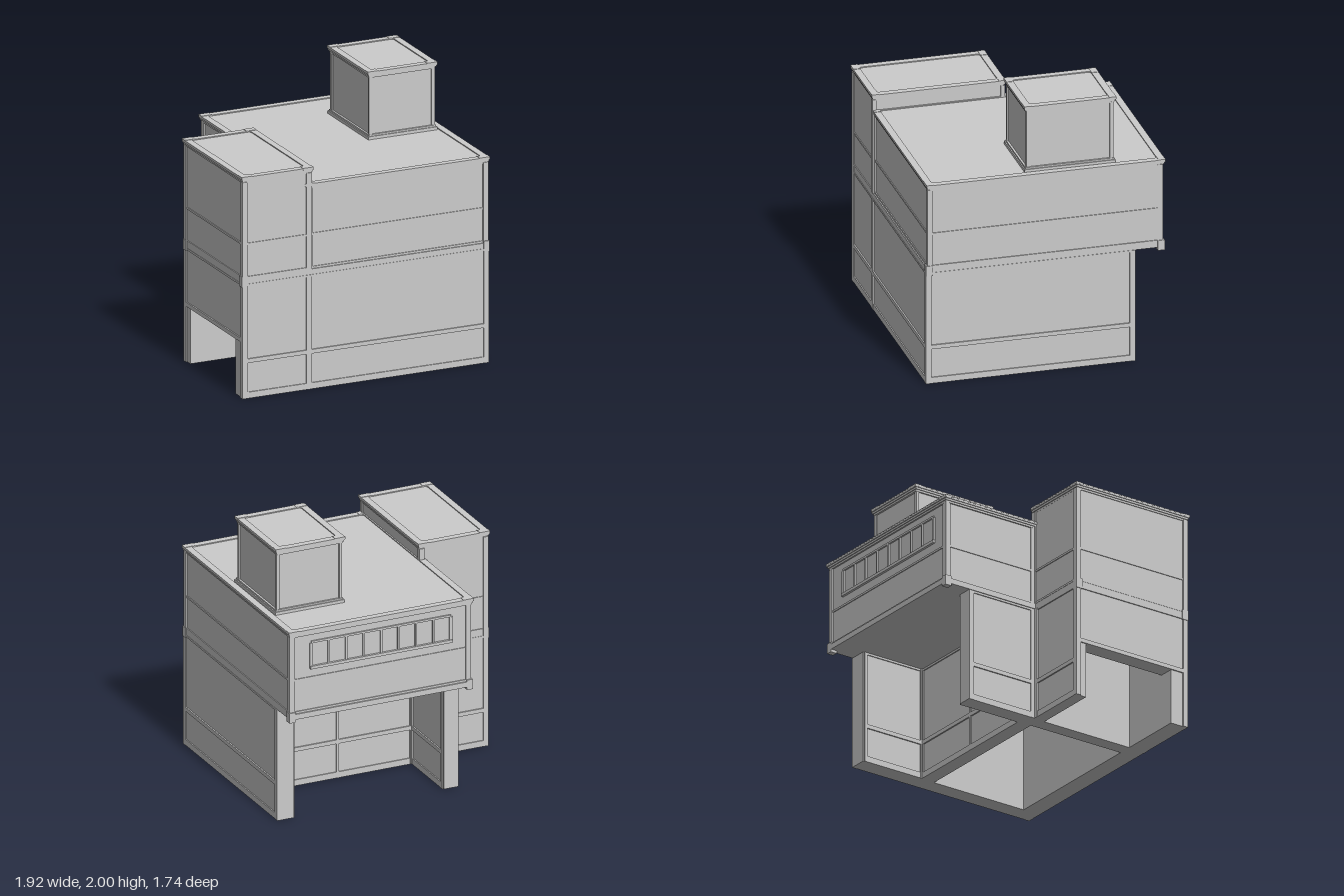
import * as THREE from 'three';

const mat = new THREE.MeshStandardMaterial({ color: 0xcccccc, flatShading: true });

// Box given by its limits on each axis
function box(parent, name, x0, x1, y0, y1, z0, z1) {
  const m = new THREE.Mesh(new THREE.BoxGeometry(x1 - x0, y1 - y0, z1 - z0), mat);
  m.position.set((x0 + x1) / 2, (y0 + y1) / 2, (z0 + z1) / 2);
  m.name = name;
  parent.add(m);
  return m;
}

// Rectangular frame lying flat, with a softly rounded opening
function rim(parent, name, [x0, x1, z0, z1], y, height, width, r) {
  const s = new THREE.Shape();
  s.moveTo(x0, -z0); s.lineTo(x0, -z1); s.lineTo(x1, -z1); s.lineTo(x1, -z0);
  const a = x0 + width, b = x1 - width, c = -z1 + width, d = -z0 - width;
  const h = new THREE.Path();
  h.moveTo(a + r, c); h.lineTo(b - r, c); h.quadraticCurveTo(b, c, b, c + r);
  h.lineTo(b, d - r); h.quadraticCurveTo(b, d, b - r, d);
  h.lineTo(a + r, d); h.quadraticCurveTo(a, d, a, d - r);
  h.lineTo(a, c + r); h.quadraticCurveTo(a, c, a + r, c);
  s.holes.push(h);
  const g = new THREE.ExtrudeGeometry(s, { depth: height, bevelEnabled: false, curveSegments: 3 });
  g.rotateX(-Math.PI / 2);
  const m = new THREE.Mesh(g, mat);
  m.position.y = y;
  m.name = name;
  parent.add(m);
}

// Trim on one wall face: corner posts and horizontal strips, facing local +z
const SIDE = { front: 0, left: Math.PI / 2, back: Math.PI, right: -Math.PI / 2 };
function trim(parent, name, side, plane, from, to, y0, y1, strips, post = 0.04) {
  const g = new THREE.Group(), w = (to - from) / 2, mid = (from + to) / 2, p = 0.01;
  g.name = name;
  g.rotation.y = SIDE[side];
  if (side === 'front' || side === 'back') g.position.set(mid, 0, plane);
  else g.position.set(plane, 0, mid);
  for (const s of [-1, 1]) {
    const x = s * (w - post / 2);
    box(g, 'cornerPost', x - post / 2, x + post / 2, y0, y1, -p, p);
  }
  for (const [a, b, out] of strips) box(g, 'strip', -w + post, w - post, a, b, -p, out);
  parent.add(g);
  return g;
}

// Stepped cornice, roof rim and corner caps around a flat roof
function cornice(parent, name, r, top) {
  const g = new THREE.Group();
  g.name = name;
  const [x0, x1, z0, z1] = r;
  [[0.05, 0.036, 0.014], [0.036, 0.022, 0.007], [0.022, 0.01, 0.001]].forEach(([a, b, inset]) =>
    box(g, 'corniceStep', x0 + inset, x1 - inset, top - a, top - b, z0 + inset, z1 - inset));
  rim(g, 'roofRim', r, top - 0.01, 0.007, 0.05, 0.02);
  for (const x of [x0, x1 - 0.08]) for (const z of [z0, z1 - 0.05])
    box(g, 'cornerCap', x, x + 0.08, top - 0.016, top, z, z + 0.05);
  parent.add(g);
}

export function createModel() {
  const model = new THREE.Group();
  model.name = 'building';
  const add = (name) => {
    const g = new THREE.Group();
    g.name = name;
    model.add(g);
    return g;
  };
  const F = 0.85;

  // Ground floor: thick walls, open at the back under the overhang
  const lower = add('groundFloor');
  const H = 0.84;
  box(lower, 'frontWall', -0.945, 0.94, 0, H, 0.72, F);
  box(lower, 'leftWall', 0.82, 0.94, 0, H, -0.65, 0.72);
  box(lower, 'rearRightWall', -0.445, -0.34, 0, H, -0.65, 0.72);
  box(lower, 'recessedWall', -0.34, 0.82, 0, H, -0.15, -0.05);
  box(lower, 'towerBackWall', -0.945, -0.445, 0, H, -0.09, -0.01);
  box(lower, 'towerSideWall', -0.945, -0.83, 0.41, H, -0.01, 0.72);

  const base = [[0, 0.045, 0.008], [0.26, 0.29, 0.01], [0.825, H, 0.008]];
  trim(lower, 'mainFrontTrim', 'front', F, -0.46, 0.95, 0, H, base);
  trim(lower, 'towerFrontTrim', 'front', F, -0.955, -0.42, 0, H, base);
  trim(lower, 'leftTrim', 'left', 0.94, -0.66, 0.86, 0, H, base);
  trim(lower, 'rearRightTrim', 'right', -0.445, -0.66, -0.09, 0, H, base);
  trim(lower, 'towerBackTrim', 'back', -0.09, -0.955, -0.445, 0, H, base);
  trim(lower, 'towerSideTrim', 'right', -0.945, -0.1, 0.86, 0, H, [[0.41, 0.44, 0.01], [0.825, H, 0.008]]);
  trim(lower, 'innerLeftTrim', 'right', 0.82, -0.65, -0.15, 0, H, base, 0.02);
  trim(lower, 'innerRightTrim', 'left', -0.34, -0.65, -0.15, 0, H, base, 0.02);
  trim(lower, 'recessLeftTrim', 'back', -0.15, 0.23, 0.82, 0, H, base, 0.02);
  trim(lower, 'recessRightTrim', 'back', -0.15, -0.34, 0.25, 0, H, base, 0.02);
  for (const [a, b] of [[0.82, 0.95], [-0.455, -0.34]])
    box(lower, 'rearWallEnd', a, b, 0, H, -0.66, -0.64);

  // Belt between the floors
  const belt = add('floorBelt');
  box(belt, 'mainBelt', -0.46, 0.945, H, 0.88, -0.868, 0.855);
  box(belt, 'towerBelt', -0.95, -0.43, H, 0.88, -0.095, 0.855);
  for (const [x, z] of [[0.91, 0.81], [0.91, -0.87], [-0.465, -0.87]])
    box(belt, 'beltCorner', x, x + 0.045, H - 0.02, 0.895, z, z + 0.05);
  for (const z of [-0.1, 0.81])
    box(belt, 'towerBeltCorner', -0.96, -0.915, H - 0.02, 0.895, z, z + 0.05);

  // Overhanging upper floor
  const upper = add('upperFloor');
  const mid = [[0.88, 0.895, 0.007], [1.125, 1.14, 0.006]];
  box(upper, 'upperBody', -0.445, 0.94, H, 1.49, -0.85, 0.84);
  trim(upper, 'upperFrontTrim', 'front', 0.84, -0.445, 0.95, 0.88, 1.47, mid);
  trim(upper, 'upperLeftTrim', 'left', 0.94, -0.86, 0.85, 0.88, 1.47, mid);
  trim(upper, 'upperBackTrim', 'back', -0.85, -0.455, 0.95, 0.88, 1.47, mid);
  trim(upper, 'upperRightTrim', 'right', -0.445, -0.86, -0.09, 0.88, 1.47, mid);
  cornice(upper, 'mainCornice', [-0.47, 0.96, -0.875, 0.857], 1.51);

  // Ribbon window on the back
  const win = add('ribbonWindow');
  const wx0 = -0.3, wx1 = 0.78, n = 8;
  box(win, 'windowSill', wx0 - 0.01, wx1 + 0.01, 1.2, 1.222, -0.868, -0.848);
  box(win, 'windowHead', wx0, wx1, 1.395, 1.41, -0.862, -0.848);
  for (let i = 0; i <= n; i++) {
    const x = wx0 + (wx1 - wx0) * i / n, w = i % n ? 0.007 : 0.012;
    box(win, 'mullion', x - w, x + w, 1.222, 1.395, -0.862, -0.848);
  }

  // Corner tower
  const tower = add('tower');
  const tmid = [[0.88, 0.895, 0.007], [1.125, 1.14, 0.006]];
  box(tower, 'towerBody', -0.945, -0.43, H, 1.615, -0.09, F);
  trim(tower, 'towerUpperFrontTrim', 'front', F, -0.955, -0.42, 0.88, 1.59, tmid);
  trim(tower, 'towerUpperSideTrim', 'right', -0.945, -0.1, 0.86, 0.88, 1.59, tmid);
  trim(tower, 'towerUpperBackTrim', 'back', -0.09, -0.955, -0.42, 0.88, 1.59, tmid);
  trim(tower, 'towerInnerTrim', 'left', -0.43, -0.1, 0.86, 1.5, 1.59, [], 0.03);
  cornice(tower, 'towerCornice', [-0.965, -0.41, -0.105, 0.867], 1.632);

  // Rooftop house
  const house = add('rooftopHouse');
  box(house, 'houseBody', 0.388, 0.877, 1.49, 1.985, -0.507, 0.107);
  box(house, 'houseBase', 0.365, 0.9, 1.5, 1.522, -0.53, 0.13);
  box(house, 'houseBaseStep', 0.373, 0.892, 1.522, 1.534, -0.522, 0.122);
  for (const [side, plane, a, b] of [['front', 0.105, 0.378, 0.887], ['back', -0.505, 0.378, 0.887],
    ['left', 0.875, -0.517, 0.117], ['right', 0.39, -0.517, 0.117]])
    trim(house, side + 'HouseTrim', side, plane, a, b, 1.53, 1.96, [], 0.025);
  cornice(house, 'houseCornice', [0.362, 0.9, -0.535, 0.132], 2);

  return model;
}
